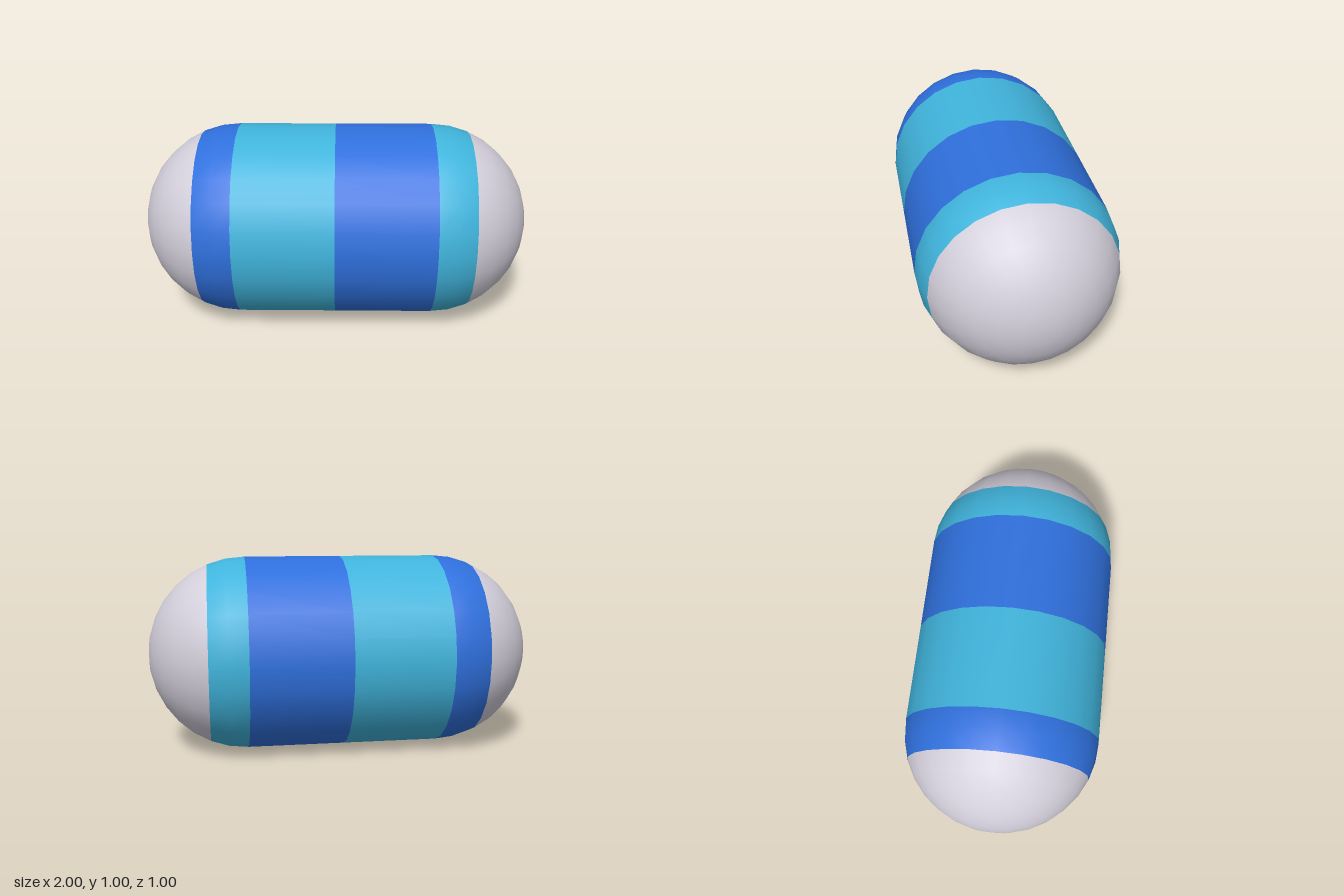
import * as THREE from 'three';

const RADIUS = 0.5;
const SIDES = 24;
const STEP = Math.PI / 16; // angle of one dome ring

function material(name, color) {
  const m = new THREE.MeshStandardMaterial({ color });
  m.name = name;
  return m;
}

export function createModel() {
  const grey = material('pale grey', 0xd3cfdb);
  const blue = material('blue', 0x2f70dd);
  const cyan = material('cyan', 0x40b4dc);

  const capsule = new THREE.Group();
  capsule.name = 'capsule';

  // Lay each part along x and slide it into place
  function add(name, geometry, mat, x) {
    geometry.rotateZ(-Math.PI / 2).translate(x, RADIUS, 0);
    const mesh = new THREE.Mesh(geometry, mat);
    mesh.name = name;
    capsule.add(mesh);
  }

  // Slice of a sphere, counted in rings from the +x pole
  const domeSlice = (first, rings) => new THREE.SphereGeometry(
    RADIUS, SIDES, rings, 0, Math.PI * 2, first * STEP, rings * STEP);
  const tube = () => new THREE.CylinderGeometry(RADIUS, RADIUS, 0.5, SIDES, 1, true);

  // Left end
  add('leftCap', domeSlice(0, 6), grey, 0.5);
  add('leftShoulderBand', domeSlice(6, 2), cyan, 0.5);

  // Body halves
  add('leftBody', tube(), blue, 0.25);
  add('rightBody', tube(), cyan, -0.25);

  // Right end
  add('rightShoulderBand', domeSlice(8, 2), blue, -0.5);
  add('rightCap', domeSlice(10, 6), grey, -0.5);

  return capsule;
}
